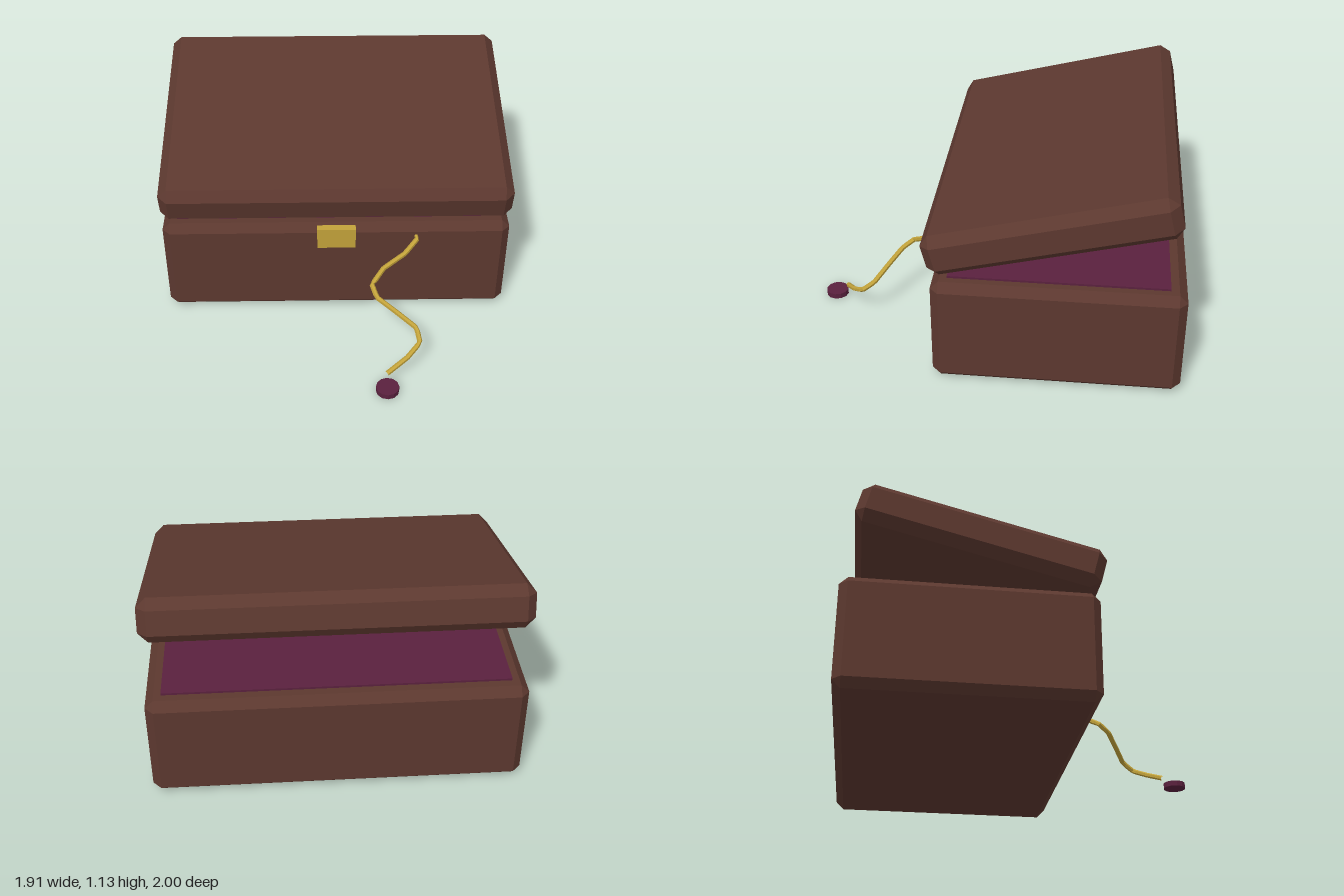
import * as THREE from 'three';
import { ConvexGeometry } from 'three/addons/geometries/ConvexGeometry.js';

const material = (name, color) => {
  const m = new THREE.MeshStandardMaterial({ color });
  m.name = name;
  return m;
};

// Box with flat bevels along every edge: three points at each corner
function bevelledBox(w, h, d, bevel) {
  const points = [];
  for (const sx of [-1, 1]) for (const sy of [-1, 1]) for (const sz of [-1, 1]) {
    for (let axis = 0; axis < 3; axis++) {
      const inset = [bevel, bevel, bevel];
      inset[axis] = 0;
      points.push(new THREE.Vector3(
        sx * (w / 2 - inset[0]), sy * (h / 2 - inset[1]), sz * (d / 2 - inset[2])));
    }
  }
  return new ConvexGeometry(points);
}

export function createModel() {
  const group = new THREE.Group();
  group.name = 'jewelleryBox';
  const wood = material('darkWood', 0x5c382f);
  const gold = material('gold', 0xc2a23a);
  const velvet = material('plumVelvet', 0x5a213e);

  const add = (name, geometry, mat, x, y, z) => {
    const mesh = new THREE.Mesh(geometry, mat);
    mesh.name = name;
    mesh.position.set(x, y, z);
    group.add(mesh);
    return mesh;
  };

  // Body and the tilted lid floating above it
  add('body', bevelledBox(1.91, 0.585, 1.277, 0.043), wood, 0, 0.2925, -0.3615);
  const lid = add('lid', bevelledBox(1.91, 0.228, 1.277, 0.05), wood, 0, 0.878, -0.315);
  lid.rotation.x = 0.245;

  // Velvet lining on top of the body
  add('lining', new THREE.BoxGeometry(1.75, 0.02, 1.11), velvet, 0, 0.586, -0.36);

  // Clasp on the front
  add('clasp', new THREE.BoxGeometry(0.21, 0.125, 0.042), gold, 0, 0.533, 0.298);

  // Necklace chain spilling over the front, with straight links
  const path = [
    [0.33, 0.585, 0.17], [0.42, 0.545, 0.23], [0.445, 0.5, 0.285], [0.375, 0.45, 0.35],
    [0.255, 0.405, 0.42], [0.19, 0.35, 0.49], [0.215, 0.31, 0.55], [0.32, 0.26, 0.615],
    [0.425, 0.205, 0.68], [0.44, 0.16, 0.745], [0.37, 0.115, 0.81], [0.26, 0.06, 0.872],
  ].map((p) => new THREE.Vector3(...p));
  const curve = new THREE.CatmullRomCurve3(path, false, 'catmullrom', 0);
  const chain = new THREE.TubeGeometry(curve, 44, 0.014, 6).toNonIndexed();
  chain.computeVertexNormals();
  add('chain', chain, gold, 0, 0, 0);

  // Pendant gem lying on the ground
  const gem = new THREE.CylinderGeometry(0.062, 0.062, 0.03, 12).toNonIndexed();
  gem.computeVertexNormals();
  add('pendant', gem, velvet, 0.26, 0.015, 0.938);

  return group;
}
